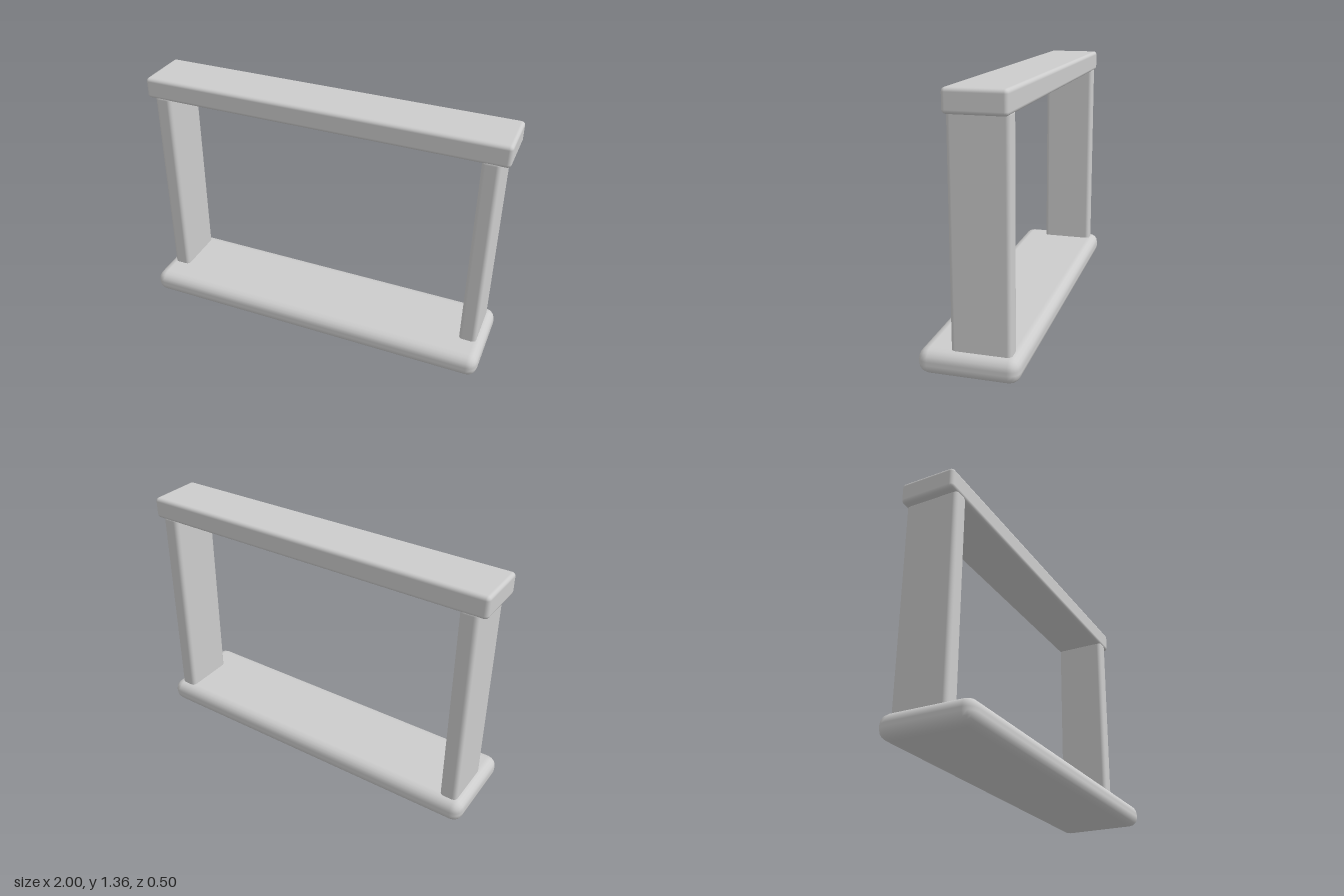
import * as THREE from 'three';
import { RoundedBoxGeometry } from 'three/addons/geometries/RoundedBoxGeometry.js';

export function createModel() {
  const group = new THREE.Group();
  const stone = new THREE.MeshStandardMaterial({ color: 0xcccccc });
  stone.name = 'light grey';

  // Rounded block given by its extents along each axis
  function block(name, [x0, x1], [y0, y1], [z0, z1], radius, segments) {
    const geometry = new RoundedBoxGeometry(x1 - x0, y1 - y0, z1 - z0, segments, radius);
    const mesh = new THREE.Mesh(geometry, stone);
    mesh.position.set((x0 + x1) / 2, (y0 + y1) / 2, (z0 + z1) / 2);
    mesh.name = name;
    group.add(mesh);
  }

  // Hearth slab with soft, thick edges
  block('baseSlab', [-1, 1], [0, 0.127], [-0.25, 0.25], 0.055, 2);

  // Upright posts, set slightly into the slab and the shelf
  block('leftPost', [0.86, 0.955], [0.1, 1.26], [-0.205, 0.09], 0.022, 2);
  block('rightPost', [-0.955, -0.86], [0.1, 1.26], [-0.205, 0.09], 0.022, 2);

  // Shelf across the top
  block('topShelf', [-1, 1], [1.24, 1.357], [-0.21, 0.093], 0.02, 2);

  return group;
}
